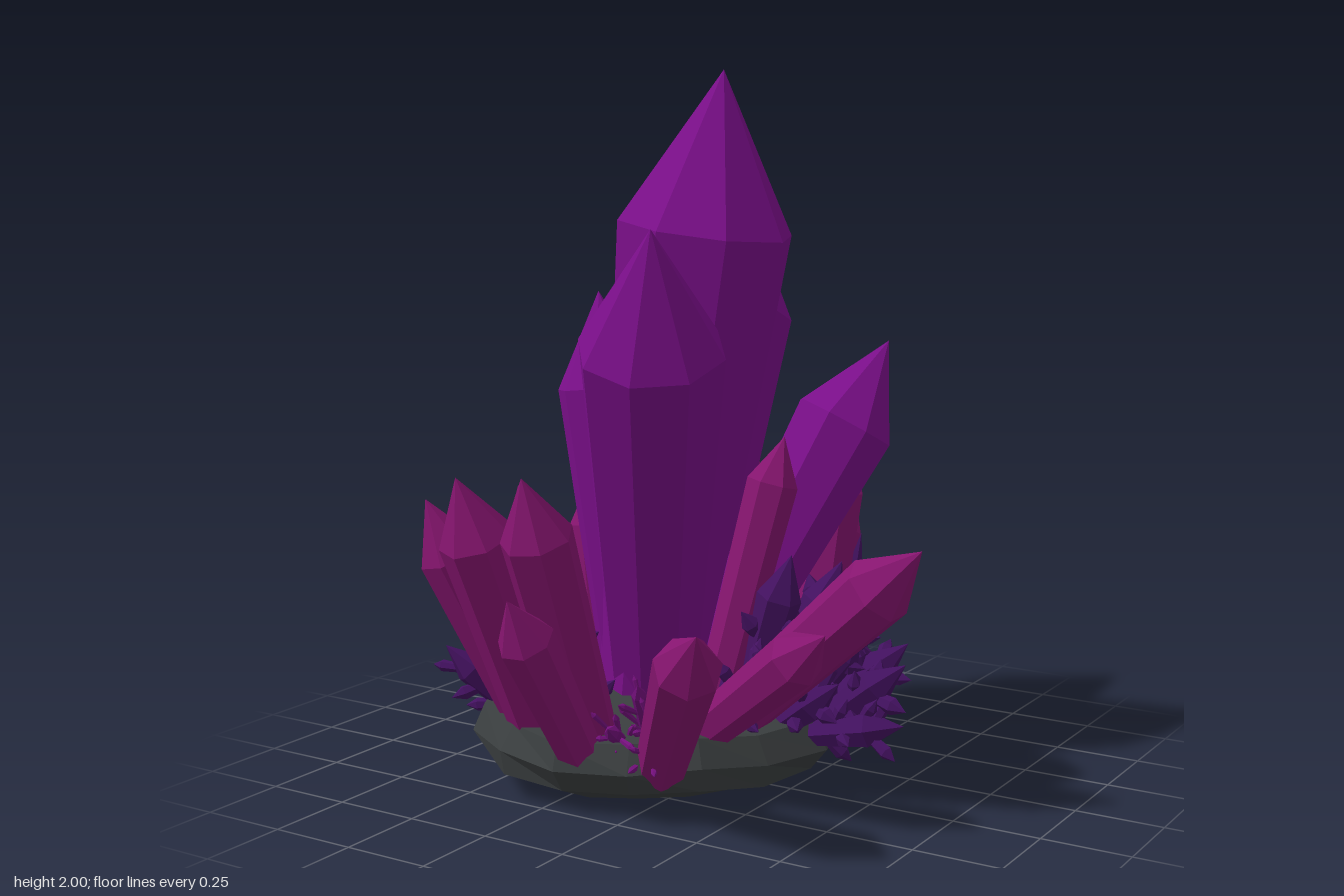
import * as THREE from 'three';

const V = (a) => new THREE.Vector3(a[0], a[1], a[2]);
const UP = new THREE.Vector3(0, 1, 0);
const paint = (color) => new THREE.MeshStandardMaterial({ color, flatShading: true });

// Seeded generator for the tiny spikes
function seeded(seed) {
  let s = seed;
  return () => (s = (s * 16807) % 2147483647) / 2147483647;
}

// Faceted crystal running from base to tip: widening prism with a pointed cap
function crystal(name, base, tip, radius, { sides = 7, foot = 0.8, cap = 2, spin = 0, material }) {
  const axis = tip.clone().sub(base);
  const length = axis.length();
  const shoulder = length - Math.min(radius * cap, length * 0.5);
  const profile = [[0, 0], [radius * foot, 0], [radius, shoulder], [0, length]]
    .map(([r, y]) => new THREE.Vector2(r, y));
  const mesh = new THREE.Mesh(new THREE.LatheGeometry(profile, sides, spin), material);
  mesh.name = name;
  mesh.position.copy(base);
  mesh.quaternion.setFromUnitVectors(UP, axis.normalize());
  return mesh;
}

// Small crystal with spikes sprouting from its sides
function cluster(tip, radius, random, material) {
  const group = new THREE.Group();
  group.name = 'smallCluster';
  const base = new THREE.Vector3(-0.18, 0, 0).lerp(tip, 0.62).setY(0.15);
  const axis = tip.clone().sub(base);
  const dir = axis.clone().normalize();
  const side = new THREE.Vector3().crossVectors(dir, new THREE.Vector3(0.3, 0.2, 1)).normalize();
  group.add(crystal('clusterStem', base, tip, radius, { sides: 6, foot: 0.65, cap: 2, material }));
  const count = 7;
  for (let i = 0; i < count; i++) {
    const out = side.clone().applyAxisAngle(dir, i * 2.4 + random());
    const start = base.clone().addScaledVector(axis, 0.15 + 0.6 * (i / count));
    const reach = radius + 0.025 + 0.04 * random();
    const end = start.clone().addScaledVector(out, reach).addScaledVector(dir, 0.04 + 0.06 * random());
    group.add(crystal('clusterSpike', start, end, radius * (0.33 + 0.15 * random()),
      { sides: 6, foot: 0.6, cap: 1.8, material }));
  }
  return group;
}

// Rough flat stone, stretched along one diagonal, with corners pushed about by smooth waves
function rockBase() {
  const profile = [[0, 0.02], [0.36, 0.02], [0.49, 0.06], [0.52, 0.125], [0.485, 0.2], [0.32, 0.23], [0, 0.26]]
    .map(([r, y]) => new THREE.Vector2(r, y));
  const geometry = new THREE.LatheGeometry(profile, 15);
  const p = geometry.attributes.position;
  for (let i = 0; i < p.count; i++) {
    const x = p.getX(i), y = p.getY(i), z = p.getZ(i);
    const wave = 1 - 0.45 * x * z + 0.03 * Math.sin(11 * x + 7 * z + 20 * y) + 0.02 * Math.cos(13 * z - 9 * x);
    const lift = 0.012 * Math.sin(9 * x - 2) + 0.012 * Math.cos(12 * z + 5 * x);
    p.setXYZ(i, -0.185 + x * wave * 0.95, Math.max(0, y + lift - 0.03 * x), z * wave * 1.02);
  }
  const mesh = new THREE.Mesh(geometry, paint(0x3a3e3f));
  mesh.name = 'rockBase';
  return mesh;
}

export function createModel() {
  const model = new THREE.Group();
  model.name = 'crystalFormation';
  model.add(rockBase());

  // Large crystals: base, tip, radius, cap length over radius
  const purple = paint(0x7b0f8a);
  [
    [[-0.23, 0.15, 0], [0.03, 2, 0.005], 0.25, 1.74],
    [[-0.23, 0.15, -0.03], [0.135, 1.59, 0.53], 0.2, 1.75],
    [[-0.21, 0.15, -0.02], [-0.2, 1.68, -0.47], 0.215, 1.8],
    [[-0.12, 0.15, -0.03], [0.3, 1.23, -0.48], 0.155, 1.75],
    [[-0.25, 0.15, 0.03], [-0.39, 1.38, 0.01], 0.145, 1.9],
  ].forEach(([base, tip, r, cap], i) =>
    model.add(crystal('largeCrystal', V(base), V(tip), r,
      { sides: 8, foot: 0.6, cap, spin: i * 0.3, material: purple })));

  // Medium crystals: base, tip, radius
  const pink = paint(0x86156f);
  [
    // front
    [[-0.34, 0.15, 0.36], [-0.4, 0.93, 0.66], 0.105],
    [[-0.18, 0.15, 0.36], [-0.175, 0.95, 0.67], 0.1],
    [[-0.15, 0.15, 0.45], [-0.15, 0.65, 0.77], 0.078],
    [[-0.4, 0.15, 0.31], [-0.58, 0.84, 0.57], 0.095],
    [[-0.42, 0.15, 0.18], [-0.61, 0.8, 0.32], 0.08],
    [[-0.45, 0.15, 0.05], [-0.63, 0.8, 0.09], 0.075],
    // left side of the model
    [[0.05, 0.13, 0.36], [0.41, 0.63, 0.755], 0.09],
    [[0.07, 0.18, 0.2], [0.56, 0.57, 0.38], 0.078],
    [[0.08, 0.18, 0.08], [0.71, 0.76, 0.135], 0.1],
    [[0, 0.15, 0.03], [0.15, 0.98, -0.13], 0.075],
    [[0.14, 0.15, -0.3], [0.21, 0.95, -0.37], 0.085],
    // back and right side
    [[-0.31, 0.15, -0.31], [-0.4, 0.8, -0.56], 0.09],
    [[-0.23, 0.15, -0.33], [-0.26, 0.95, -0.58], 0.085],
    [[-0.07, 0.15, -0.36], [-0.03, 0.7, -0.67], 0.08],
    [[0.03, 0.15, -0.25], [0.15, 0.78, -0.56], 0.078],
    [[-0.36, 0.15, -0.18], [-0.38, 0.92, -0.22], 0.07],
    [[-0.42, 0.15, -0.16], [-0.55, 0.74, -0.21], 0.078],
    [[-0.41, 0.15, -0.03], [-0.5, 0.78, -0.07], 0.06],
    [[-0.36, 0.15, -0.25], [-0.5, 0.65, -0.33], 0.065],
  ].forEach(([base, tip, r], i) =>
    model.add(crystal('mediumCrystal', V(base), V(tip), r,
      { sides: 7, foot: 0.8, cap: 1.8, spin: i * 0.7, material: pink })));

  // Small spiky clusters around the rim: tip and radius
  const violet = paint(0x431160);
  const random = seeded(41);
  [
    // left side of the model
    [0.22, 0.66, -0.05, 0.065], [0.29, 0.62, -0.22, 0.065], [0.4, 0.48, -0.15, 0.06],
    [0.56, 0.21, -0.08, 0.052], [0.54, 0.37, -0.13, 0.055], [0.46, 0.38, -0.31, 0.05],
    [0.39, 0.32, -0.02, 0.055], [0.24, 0.4, 0.14, 0.052], [0.3, 0.47, 0.15, 0.045],
    [0.28, 0.57, -0.38, 0.062],
    // back
    [-0.1, 0.34, -0.76, 0.052], [0.11, 0.6, -0.69, 0.065], [0.13, 0.31, -0.77, 0.055],
    [0.23, 0.42, -0.61, 0.055], [0.02, 0.45, -0.62, 0.06], [0.03, 0.58, -0.54, 0.06],
    [-0.13, 0.5, -0.68, 0.052], [0.2, 0.3, -0.5, 0.055],
    // right side
    [-0.5, 0.48, -0.51, 0.052], [-0.54, 0.36, -0.42, 0.048], [-0.6, 0.57, -0.29, 0.06],
    [-0.69, 0.38, -0.06, 0.05], [-0.63, 0.59, -0.15, 0.055], [-0.66, 0.38, 0.4, 0.05],
    [-0.59, 0.5, 0.2, 0.048], [-0.36, 0.55, 0.29, 0.055],
  ].forEach(([x, y, z, r]) => model.add(cluster(new THREE.Vector3(x, y, z), r, random, violet)));

  // Tiny bright sprouts in the gap at the front
  const bright = paint(0x74107c);
  [[0, 0.36, 0.4], [0.06, 0.29, 0.43], [0.1, 0.2, 0.49], [-0.03, 0.26, 0.5]]
    .forEach((tip) => model.add(cluster(V(tip), 0.022, random, bright)));

  return model;
}
